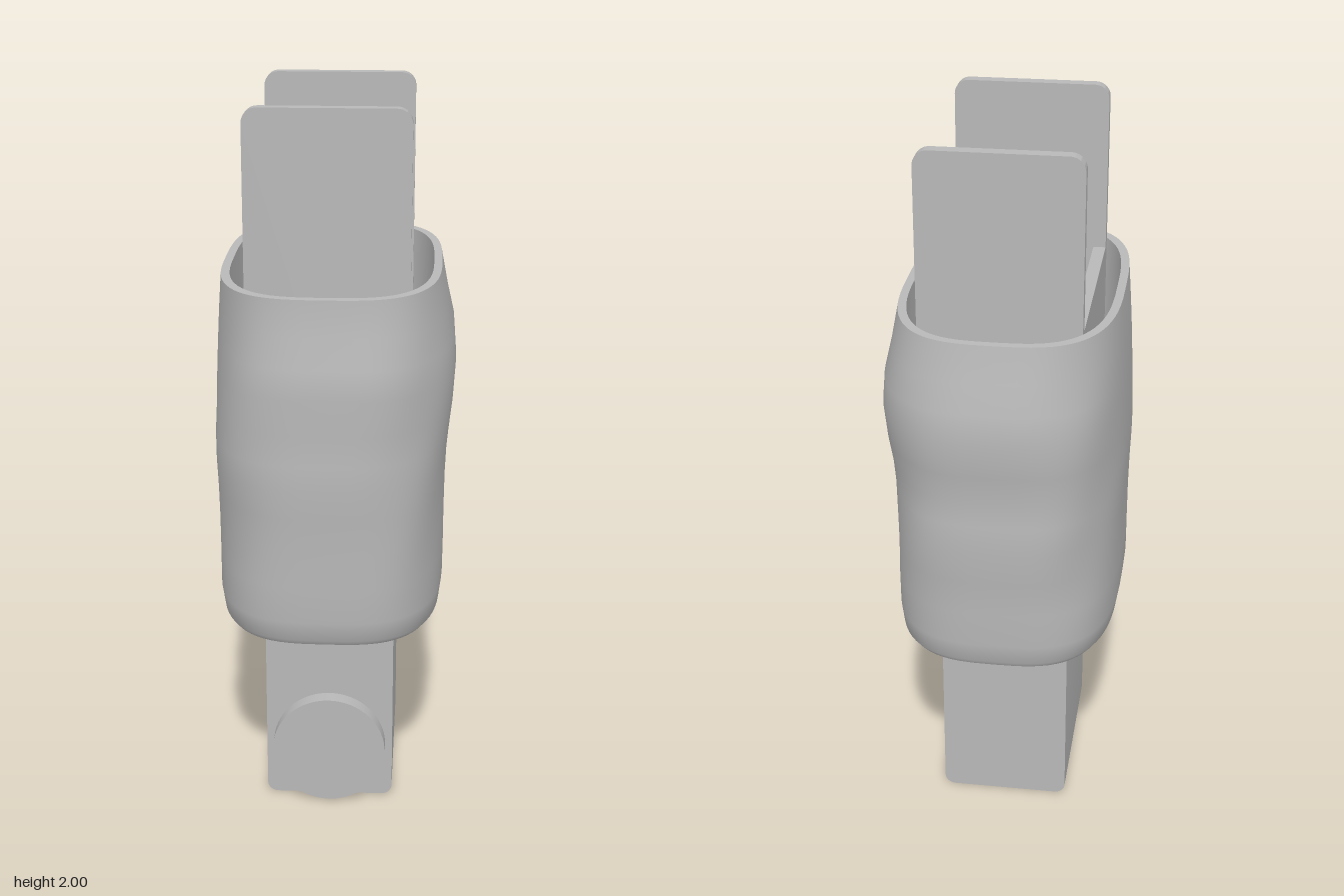
import * as THREE from 'three';
import { toCreasedNormals } from 'three/addons/utils/BufferGeometryUtils.js';

const grey = new THREE.MeshStandardMaterial({ color: 0xb8b8b8 });
grey.name = 'grey';

// Rounded rectangle in x/y, extruded from z0 to z1
function slab(name, x0, x1, y0, y1, z0, z1, r) {
  const s = new THREE.Shape();
  s.absarc(x1 - r, y0 + r, r, -Math.PI / 2, 0);
  s.absarc(x1 - r, y1 - r, r, 0, Math.PI / 2);
  s.absarc(x0 + r, y1 - r, r, Math.PI / 2, Math.PI);
  s.absarc(x0 + r, y0 + r, r, Math.PI, Math.PI * 1.5);
  const geo = new THREE.ExtrudeGeometry(s, { depth: z1 - z0, bevelEnabled: false, curveSegments: 6 });
  geo.translate(0, 0, z0);
  const mesh = new THREE.Mesh(toCreasedNormals(geo, 0.6), grey);
  mesh.name = name;
  return mesh;
}

// Hollow fabric sleeve lofted through uneven oval sections
function sleeve() {
  // height, -x, +x, -z, +z, wrinkle
  const rows = [
    [0.58, -0.305, 0.285, -0.435, 0.458, 0],
    [0.595, -0.316, 0.297, -0.444, 0.468, 0],
    [0.65, -0.325, 0.304, -0.45, 0.475, 0.3],
    [0.75, -0.325, 0.305, -0.452, 0.477, 0.7],
    [0.85, -0.325, 0.305, -0.456, 0.479, 1],
    [0.95, -0.327, 0.306, -0.47, 0.484, 1],
    [1.03, -0.33, 0.309, -0.464, 0.49, 1],
    [1.1, -0.331, 0.315, -0.461, 0.488, 1],
    [1.18, -0.328, 0.324, -0.472, 0.483, 1],
    [1.28, -0.325, 0.33, -0.486, 0.491, 1],
    [1.36, -0.321, 0.324, -0.476, 0.484, 1],
    [1.44, -0.316, 0.306, -0.456, 0.466, 0.6],
    [1.54, -0.308, 0.287, -0.438, 0.46, 0],
    // inner wall, going back down
    [1.54, -0.285, 0.265, -0.415, 0.435, 0],
    [0.58, -0.285, 0.265, -0.415, 0.435, 0],
    [0.58, -0.305, 0.285, -0.435, 0.458, 0],
  ];
  const N = 72, power = 2 / 3.1, pos = [], index = [];
  const bend = (v) => Math.sign(v) * Math.abs(v) ** power;
  rows.forEach(([y, xa, xb, za, zb, w]) => {
    for (let i = 0; i < N; i++) {
      const a = (i / N) * Math.PI * 2;
      const dent = 1 - 0.012 * w * Math.sin(2 * a) ** 2 * (1 + Math.sin(3 * a + 9 * y));
      pos.push(
        (xa + xb) / 2 + (xb - xa) / 2 * bend(Math.cos(a)) * dent, y,
        (za + zb) / 2 + (zb - za) / 2 * bend(Math.sin(a)) * dent);
    }
  });
  for (let j = 0; j < rows.length - 1; j++) {
    for (let i = 0; i < N; i++) {
      const p = j * N + i, q = j * N + (i + 1) % N;
      index.push(p, p + N, q, q, p + N, q + N);
    }
  }
  const geo = new THREE.BufferGeometry();
  geo.setAttribute('position', new THREE.Float32BufferAttribute(pos, 3));
  geo.setIndex(index);
  const mesh = new THREE.Mesh(toCreasedNormals(geo, 0.8), grey);
  mesh.name = 'sleeve';
  return mesh;
}

export function createModel() {
  const model = new THREE.Group();
  model.name = 'sleevedDevice';

  model.add(sleeve());

  // Upright plates and the panel joining them
  model.add(slab('frontPlate', -0.225, 0.205, 0.55, 2, 0.308, 0.343, 0.04));
  model.add(slab('backPlate', -0.225, 0.205, 0.55, 2, -0.325, -0.29, 0.04));
  const panel = new THREE.Mesh(new THREE.BoxGeometry(0.035, 0.95, 0.598), grey);
  panel.name = 'sidePanel';
  panel.position.set(-0.2075, 1.055, 0.009);
  model.add(panel);

  // Inner block with a round knob low on its front
  model.add(slab('block', -0.19, 0.17, 0.003, 1.1, -0.245, 0.265, 0.03));
  const knob = new THREE.Mesh(new THREE.CylinderGeometry(0.16, 0.16, 0.05, 64), grey);
  knob.name = 'knob';
  knob.rotation.x = Math.PI / 2;
  knob.position.set(-0.01, 0.168, 0.285);
  model.add(knob);

  return model;
}
